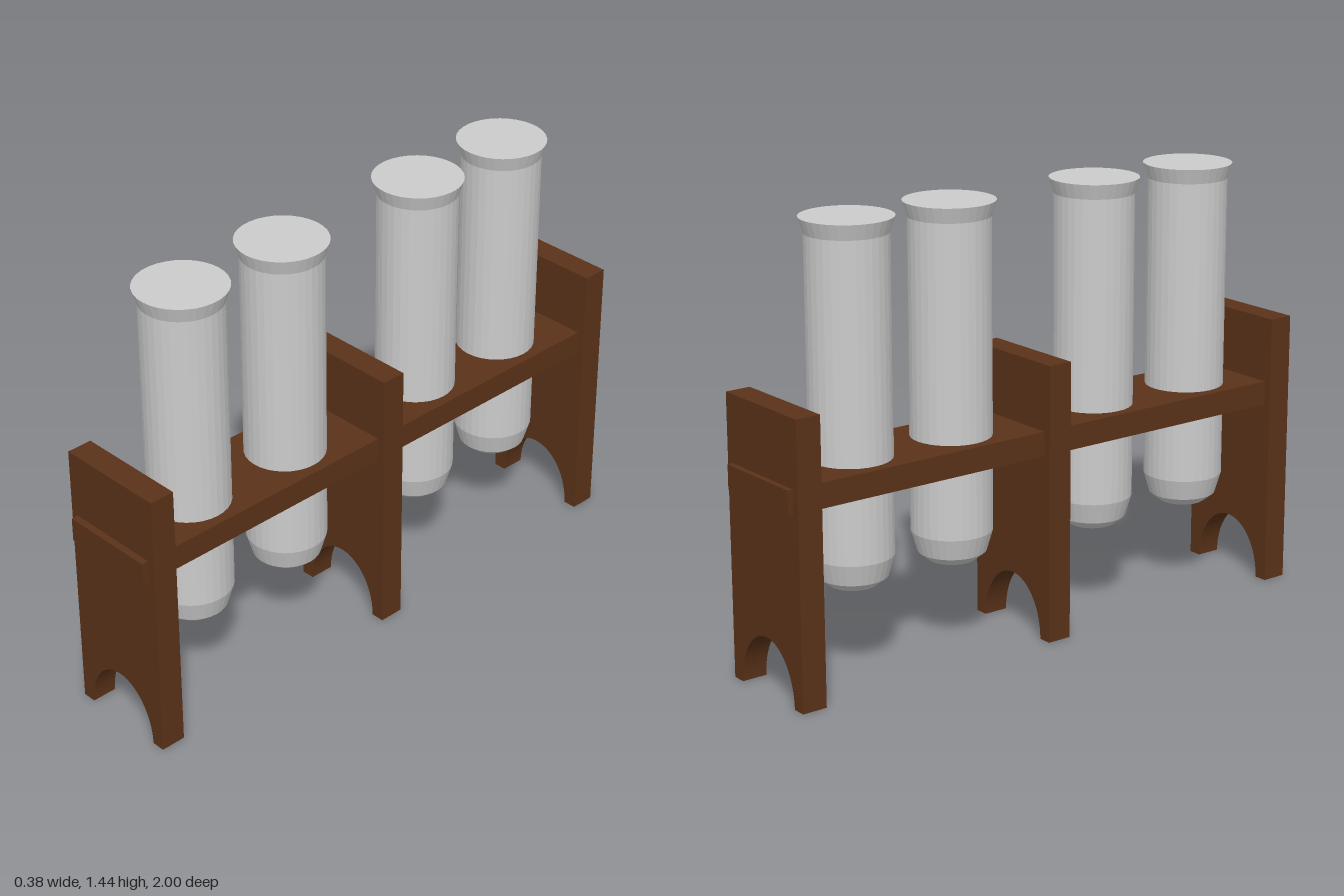
import * as THREE from 'three';

const wood = new THREE.MeshStandardMaterial({ color: 0x5a3219 });
const grey = new THREE.MeshStandardMaterial({ color: 0xcccccc, flatShading: true });

// Upright board with an elliptical arch cut from its foot
function panelGeometry(halfWidth, height, depth) {
  const archX = 0.143, archY = 0.187;
  const s = new THREE.Shape();
  s.moveTo(-halfWidth, 0);
  s.lineTo(-archX, 0);
  s.absellipse(0, 0, archX, archY, Math.PI, 0, true);
  s.lineTo(halfWidth, 0);
  s.lineTo(halfWidth, height);
  s.lineTo(-halfWidth, height);
  s.closePath();
  const g = new THREE.ExtrudeGeometry(s, { depth, bevelEnabled: false, curveSegments: 24 });
  return g.translate(0, 0, -depth / 2);
}

// Closed tube with a flared rim and a bevelled bottom
function tubeGeometry() {
  const profile = [
    [0, 0.29], [0.075, 0.29], [0.11, 0.318], [0.13, 0.387],
    [0.13, 1.388], [0.145, 1.437], [0, 1.437],
  ].map(([r, y]) => new THREE.Vector2(r, y));
  return new THREE.LatheGeometry(profile, 32);
}

export function createModel() {
  const model = new THREE.Group();
  model.name = 'tubeRack';

  const add = (name, geometry, material, y, z) => {
    const mesh = new THREE.Mesh(geometry, material);
    mesh.name = name;
    mesh.position.set(0, y, z);
    model.add(mesh);
  };

  // Three uprights
  const panel = panelGeometry(0.188, 0.912, 0.084);
  [['frontPanel', 0.935], ['middlePanel', -0.004], ['backPanel', -0.94]]
    .forEach(([name, z]) => add(name, panel, wood, 0, z));

  // Long shelf that runs through the uprights
  add('shelf', new THREE.BoxGeometry(0.325, 0.08, 2), wood, 0.655, 0);

  // Four tubes standing through the shelf
  const tube = tubeGeometry();
  [0.677, 0.283, -0.288, -0.665].forEach((z, i) => add(`tube${i + 1}`, tube, grey, 0, z));

  return model;
}
